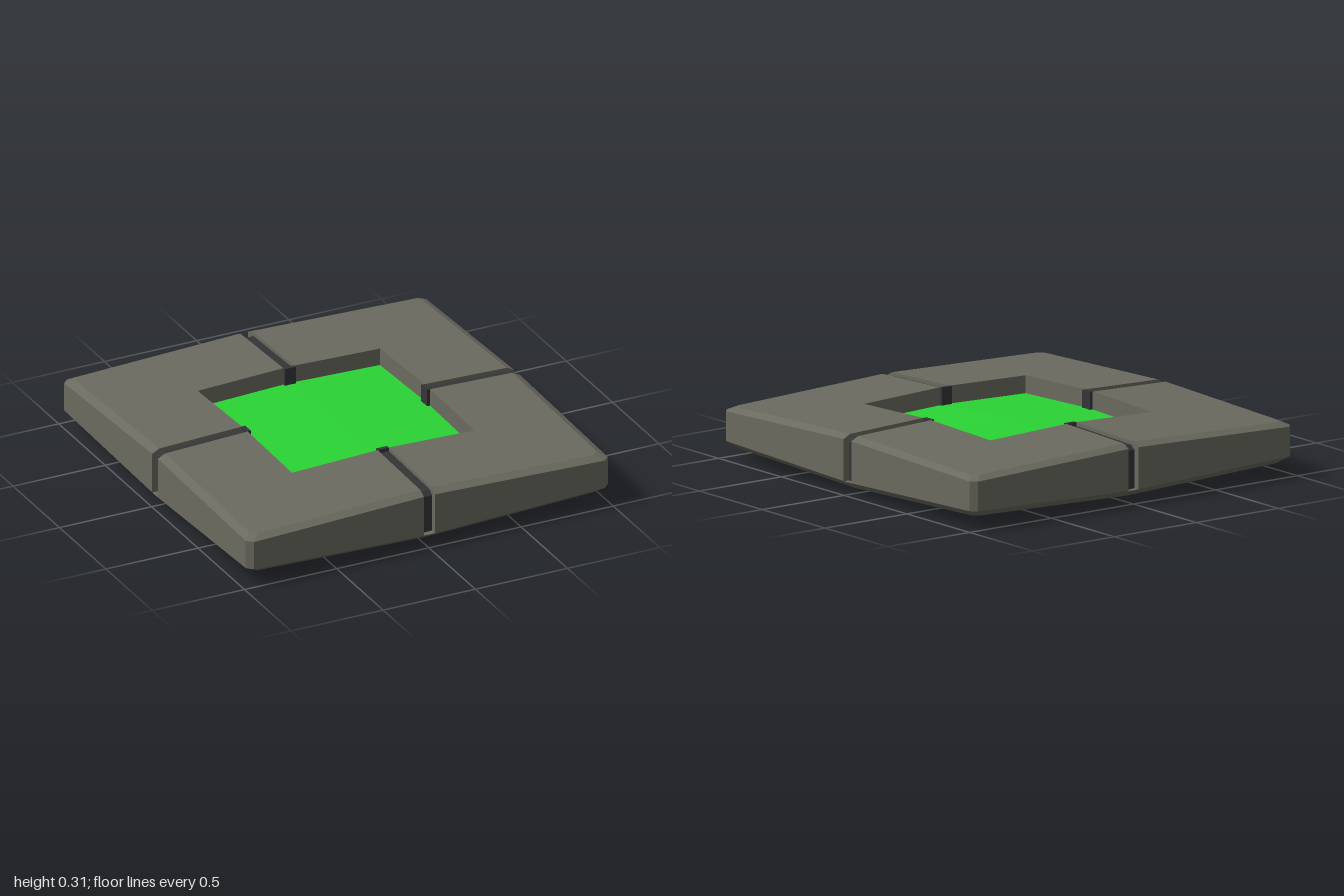
import * as THREE from 'three';

const SLOPE = 0.033;   // every layer leans gently away from the centre
const R = 0.987;       // outer half width
const CUT = 0.03;      // vertical corner chamfer
const GAP = 0.03;      // half width of the grooves
const HOLE = 0.497;    // half width of the central recess

const material = (color) => new THREE.MeshStandardMaterial({ color, flatShading: true });
const lean = (x, z) => SLOPE * (Math.abs(x) + Math.abs(z));

// Places a plan outline [x, z] on a layer that rises or falls from the centre
const layer = (plan, base, sign) =>
  plan.map(([x, z]) => new THREE.Vector3(x, base + sign * lean(x, z), z));

function fromTriangles(points) {
  const geometry = new THREE.BufferGeometry().setFromPoints(points);
  geometry.computeVertexNormals();
  return geometry;
}

// Side walls between stacked loops of equal length, lowest first
function walls(loops) {
  const out = [];
  for (let k = 0; k + 1 < loops.length; k++) {
    const low = loops[k], high = loops[k + 1], n = low.length;
    for (let i = 0; i < n; i++) {
      const j = (i + 1) % n;
      out.push(low[i], low[j], high[j], low[i], high[j], high[i]);
    }
  }
  return out;
}

// Fan from a centre point, facing up or down
function fan(loop, centreY, up) {
  const centre = new THREE.Vector3(0, centreY, 0);
  return loop.flatMap((p, i) => {
    const q = loop[(i + 1) % loop.length];
    return up ? [centre, p, q] : [centre, q, p];
  });
}

// Chamfered square with a point in the middle of each side
function squarePlan(r, cut) {
  const plan = [];
  for (let i = 0; i < 4; i++) {
    const a = i * Math.PI / 2, c = Math.cos(a), s = Math.sin(a);
    for (const [x, z] of [[0, r], [r - cut, r], [r, r - cut]]) {
      plan.push([x * c + z * s, z * c - x * s]);
    }
  }
  return plan;
}

// L-shaped quarter of the slab, inset on its outer sides only
function quarterPlan(r) {
  return [[GAP, HOLE], [GAP, r], [r - CUT, r], [r, r - CUT],
    [r, GAP], [HOLE, GAP], [HOLE, HOLE]];
}

function createBase() {
  const low = layer(squarePlan(R - 0.045, CUT), 0, 1);
  const high = layer(squarePlan(R, CUT), 0.032, 1);
  return fromTriangles([...walls([low, high]), ...fan(low, 0, false), ...fan(high, 0.032, true)]);
}

function createQuarter() {
  const low = layer(quarterPlan(R), 0.032, 1);
  const shoulder = layer(quarterPlan(R), 0.308, -1);
  const top = layer(quarterPlan(R - 0.04), 0.327, -1);
  // The inner walls stay straight up to the top surface
  const flat = top.map((p) => new THREE.Vector2(p.x, -p.z));
  const cap = THREE.ShapeUtils.triangulateShape(flat, []).flat().map((i) => top[i]);
  return fromTriangles([...walls([low, shoulder, top]), ...cap]);
}

function createStrip() {
  // Side profile: recessed bar, bevelled outside, with a small lip at the recess
  const profile = new THREE.Shape([
    [0.48, 0.04], [0.955, 0.04], [0.955, 0.256], [0.93, 0.277],
    [0.5, 0.291], [0.5, 0.31], [0.48, 0.311],
  ].map(([x, y]) => new THREE.Vector2(x, y)));
  const geometry = new THREE.ExtrudeGeometry(profile, { depth: 2 * GAP, bevelEnabled: false });
  return geometry.translate(0, 0, -GAP);
}

export function createModel() {
  const model = new THREE.Group();
  model.name = 'floorTile';

  const stone = material(0x6a6a60);
  const dark = material(0x353538);
  const green = material(0x2ad434);

  const add = (name, geometry, mat, turn = 0) => {
    const mesh = new THREE.Mesh(geometry, mat);
    mesh.name = name;
    mesh.rotation.y = turn;
    model.add(mesh);
  };

  add('basePlate', createBase(), stone);

  // Four slab quarters and the dark strips between them
  const quarter = createQuarter();
  const strip = createStrip();
  for (let i = 0; i < 4; i++) {
    add(`slabQuarter${i + 1}`, quarter, stone, i * Math.PI / 2);
    add(`grooveStrip${i + 1}`, strip, dark, i * Math.PI / 2);
  }

  // Sunken panel in the middle
  const panel = layer(squarePlan(HOLE, 0), 0.238, -1);
  add('centrePanel', fromTriangles(fan(panel, 0.238, true)), green);

  model.rotation.y = 0.0105;
  return model;
}
